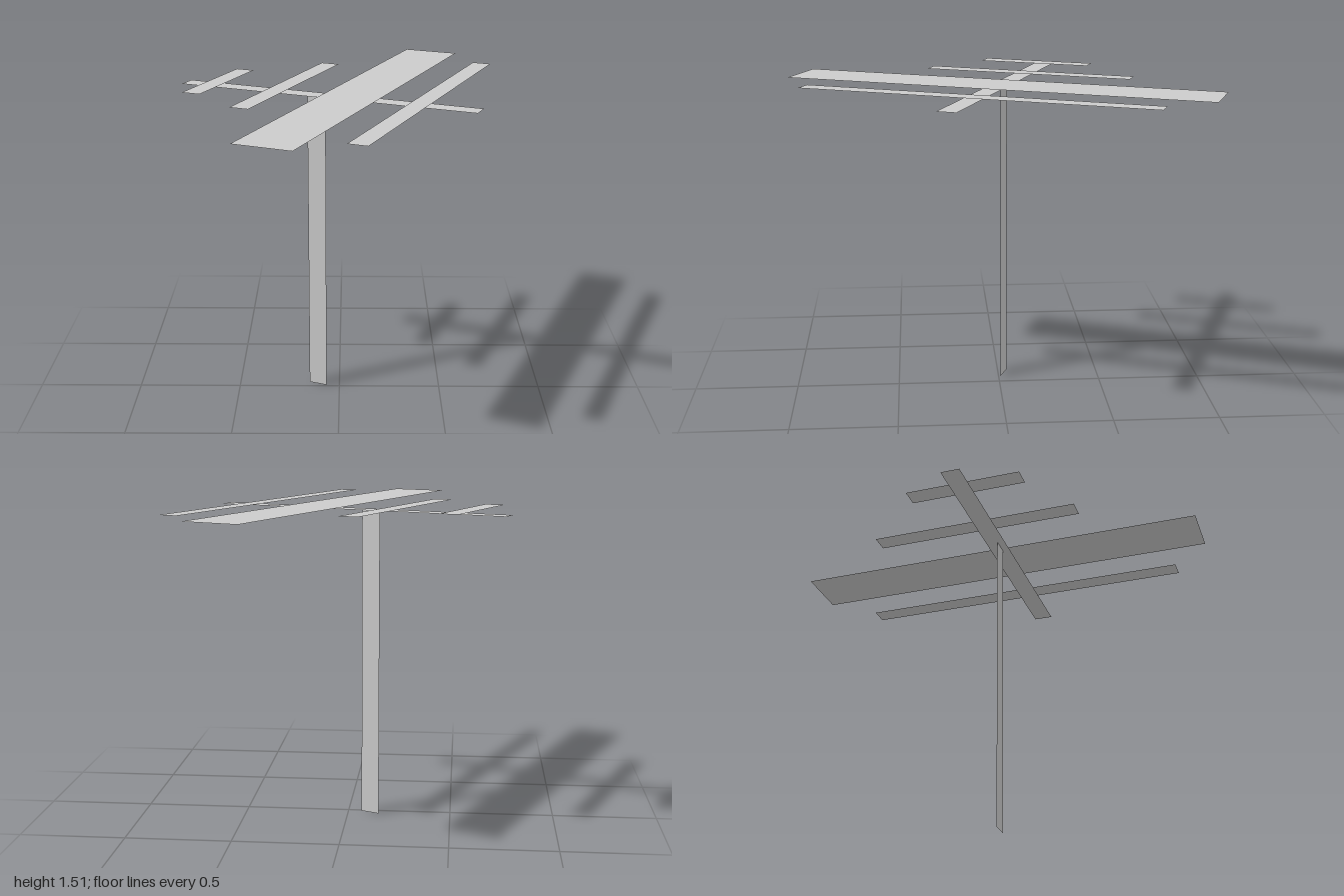
import * as THREE from 'three';

export function createModel() {
  const model = new THREE.Group();
  model.name = 'aerial';
  const material = new THREE.MeshStandardMaterial({ color: 0xcccccc, side: THREE.DoubleSide });

  const boomY = 1.489;
  const elementY = 1.511;

  // Everything is square to the boom, which is turned about the vertical
  const frame = new THREE.Group();
  frame.name = 'antennaFrame';
  frame.position.set(-0.057, 0, -0.019);
  frame.rotation.y = -THREE.MathUtils.degToRad(22.43);
  model.add(frame);

  // Thin horizontal strip: width along the boom, length across it
  function strip(name, width, length, x, y, z) {
    const geometry = new THREE.PlaneGeometry(width, length).rotateX(-Math.PI / 2);
    const mesh = new THREE.Mesh(geometry, material);
    mesh.name = name;
    mesh.position.set(x, y, z);
    frame.add(mesh);
  }

  // Upright flat mast
  const mast = new THREE.Mesh(new THREE.PlaneGeometry(0.093, boomY), material);
  mast.name = 'mast';
  mast.position.set(-0.05, boomY / 2, 0.011);
  frame.add(mast);

  // Boom and the cross elements lying just above it
  strip('boom', 1.489, 0.092, 0, boomY, 0);
  strip('shortElement', 0.092, 0.558, -0.563, elementY, 0.008);
  strip('middleElement', 0.092, 1.023, -0.229, elementY, -0.057);
  strip('widePanel', 0.274, 2.049, 0.143, elementY, -0.039);
  strip('longElement', 0.092, 1.679, 0.48, elementY, -0.036);

  return model;
}
